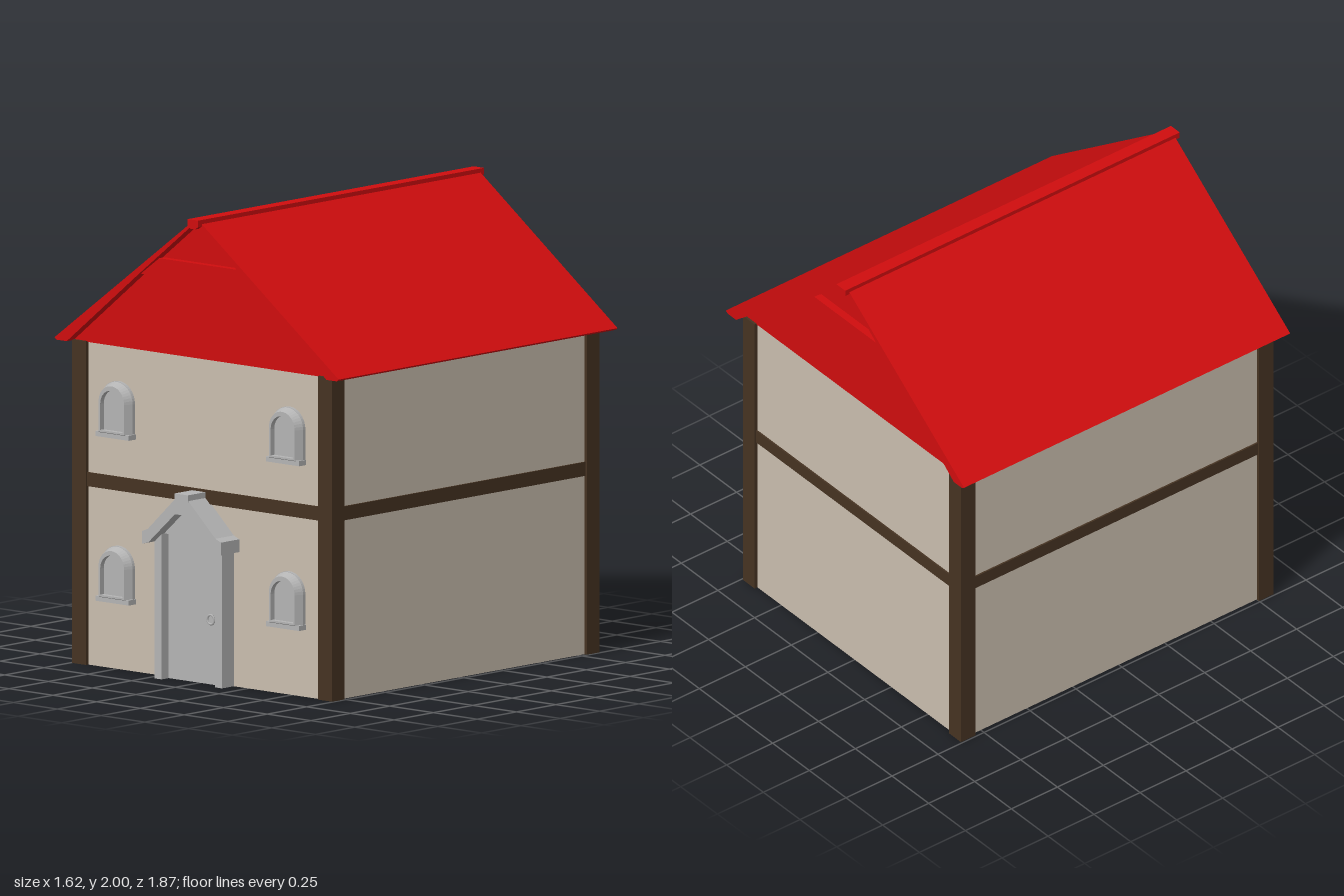
import * as THREE from 'three';

const material = (name, color) => {
  const m = new THREE.MeshStandardMaterial({ color });
  m.name = name;
  return m;
};

export function createModel() {
  const house = new THREE.Group();
  house.name = 'house';
  const plaster = material('plaster', 0xcabeaf);
  const timber = material('dark timber', 0x463322);
  const red = material('red roof', 0xd00d0e);
  const stone = material('grey stone', 0xb4b4b4);

  const add = (name, geometry, mat, parent = house) => {
    const mesh = new THREE.Mesh(geometry, mat);
    mesh.name = name;
    parent.add(mesh);
    return mesh;
  };
  // Box given by its limits on each axis
  const box = (name, mat, [x0, x1], [y0, y1], [z0, z1], parent) => {
    const g = new THREE.BoxGeometry(x1 - x0, y1 - y0, z1 - z0);
    g.translate((x0 + x1) / 2, (y0 + y1) / 2, (z0 + z1) / 2);
    return add(name, g, mat, parent);
  };
  // Flat outline in x, y pushed from z0 to z1
  const prism = (name, mat, points, z0, z1, parent) => {
    const shape = new THREE.Shape(points.map(([x, y]) => new THREE.Vector2(x, y)));
    const g = new THREE.ExtrudeGeometry(shape, { depth: z1 - z0, bevelEnabled: false });
    g.translate(0, 0, z0);
    return add(name, g, mat, parent);
  };
  // Adds the mirror image of a half outline about x = cx
  const mirrored = (half, cx = 0) => [
    ...half.map(([x, y]) => [cx + x, y]),
    ...half.slice().reverse().map(([x, y]) => [cx - x, y]),
  ];

  // Walls, open underneath, with a timber band at mid height
  const top = 1.395, front = 0.815, back = -0.855, side = 0.728;
  for (const [label, z, s] of [['front', front, 1], ['back', back, -1]]) {
    const inner = z - s * 0.01;
    box(label + 'Wall', plaster, [-side, side], [0, top], [Math.min(z, inner), Math.max(z, inner)]);
    box(label + 'Band', timber, [-0.68, 0.68], [0.77, 0.83],
      [z + s * 0.008 - 0.015 - s * 0.015, z + s * 0.008 + 0.015 - s * 0.015]);
  }
  for (const [label, s] of [['left', 1], ['right', -1]]) {
    const span = (a, b) => [s * a, s * b].sort((p, q) => p - q);
    box(label + 'Wall', plaster, span(side - 0.01, side), [0, top], [back + 0.01, front - 0.01]);
    box(label + 'Band', timber, span(side - 0.022, side + 0.008), [0.77, 0.83], [-0.8, 0.76]);
    box(label + 'FrontPost', timber, span(0.663, 0.743), [0, top], [0.75, 0.83]);
    box(label + 'BackPost', timber, span(0.663, 0.743), [0, top], [-0.87, -0.79]);
  }

  // Roof: sloping slabs, gable infill, collar beams and ridge cap
  const roof = new THREE.Group();
  roof.name = 'roof';
  house.add(roof);
  const inside = [[0.742, 1.391], [0.33, 1.727], [0.035, 1.962]];
  for (const s of [1, -1]) {
    const slab = [[0.8, 1.391], [0.812, 1.4], [0.03, 1.982], [0, 1.99], [0, 1.962], ...inside.slice().reverse()];
    prism(s > 0 ? 'leftRoofSlab' : 'rightRoofSlab', red, slab.map(([x, y]) => [s * x, y]), -0.908, 0.865, roof);
  }
  prism('gable', red, mirrored(inside), -0.86, 0.82, roof);
  prism('collarBeam', red, mirrored([[0.33, 1.727], [0.225, 1.805]]), -0.895, 0.852, roof);
  prism('ridgeCap', red, mirrored([[0.012, 1.96], [0.03, 1.972], [0.03, 2]]), -0.93, 0.888, roof);

  // Arched windows with a chamfered surround
  const arch = (Kind, w, y0, spring) => {
    const p = new Kind();
    p.moveTo(-w, y0);
    p.lineTo(w, y0);
    p.lineTo(w, spring);
    p.absarc(0, spring, w, 0, Math.PI, false);
    p.closePath();
    return p;
  };
  const surround = arch(THREE.Shape, 0.073, 0.022, 0.152);
  surround.holes.push(arch(THREE.Path, 0.074, 0.02, 0.14));
  surround.holes[0] = arch(THREE.Path, 0.0635, 0.03, 0.142);
  const frameGeometry = new THREE.ExtrudeGeometry(surround, {
    depth: 0.035, bevelEnabled: false, curveSegments: 10,
  });
  // Sloping outer face: the outline widens towards the wall
  const p = frameGeometry.attributes.position;
  for (let i = 0; i < p.count; i++) {
    const x = p.getX(i), y = p.getY(i);
    const outer = y < 0.025 || Math.hypot(x, Math.max(0, y - 0.15)) > 0.07;
    if (outer && p.getZ(i) < 0.01) p.setXY(i, x * 1.23, y < 0.1 ? 0 : 0.15 + (y - 0.15) * 1.2);
  }
  frameGeometry.computeVertexNormals();
  const paneGeometry = new THREE.ShapeGeometry(arch(THREE.Shape, 0.066, 0.026, 0.142), 10);
  for (const x of [-0.487, 0.487]) {
    for (const y of [0.29, 1.0]) {
      const win = new THREE.Group();
      win.name = 'window';
      win.position.set(x, y, front + 0.015);
      house.add(win);
      add('windowFrame', frameGeometry, stone, win);
      add('windowPane', paneGeometry, stone, win).position.z = 0.012;
      box('windowSill', stone, [-0.095, 0.095], [0, 0.022], [-0.015, 0.03], win);
      // Closes the gap between the surround and the wall
      const base = new THREE.ExtrudeGeometry(arch(THREE.Shape, 0.09, 0, 0.152), { depth: 0.015, bevelEnabled: false });
      add('windowBase', base, stone, win).position.z = -0.015;
    }
  }

  // Doorway with jambs, a small pitched hood and a ring handle
  const door = new THREE.Group();
  door.name = 'doorway';
  house.add(door);
  const cx = -0.025;
  box('door', stone, [-0.185, 0.13], [0, 0.63], [front - 0.01, 0.845], door);
  for (const s of [1, -1]) {
    const xs = [cx + s * 0.152, cx + s * 0.193].sort((a, b) => a - b);
    box('doorJamb', stone, xs, [0, 0.63], [front - 0.01, 0.89], door);
    const hood = [[0.19, 0.592], [0.225, 0.582], [0.225, 0.637], [0.193, 0.65], [0.038, 0.795], [0, 0.795], [0, 0.73], [0.038, 0.73]];
    prism('hoodSlab', stone, hood.map(([x, y]) => [cx + s * x, y]), front - 0.01, 0.932, door);
  }
  prism('hoodGable', stone, mirrored([[0.155, 0.628], [0.038, 0.732]], cx), front - 0.01, 0.875, door);
  box('hoodRidge', stone, [cx - 0.038, cx + 0.038], [0.79, 0.82], [front - 0.01, 0.935], door);
  add('doorHandle', new THREE.TorusGeometry(0.02, 0.005, 6, 20), stone, door).position.set(0.068, 0.28, 0.85);
  box('hinge', stone, [0.12, 0.132], [0.535, 0.555], [0.84, 0.855], door);

  return house;
}
